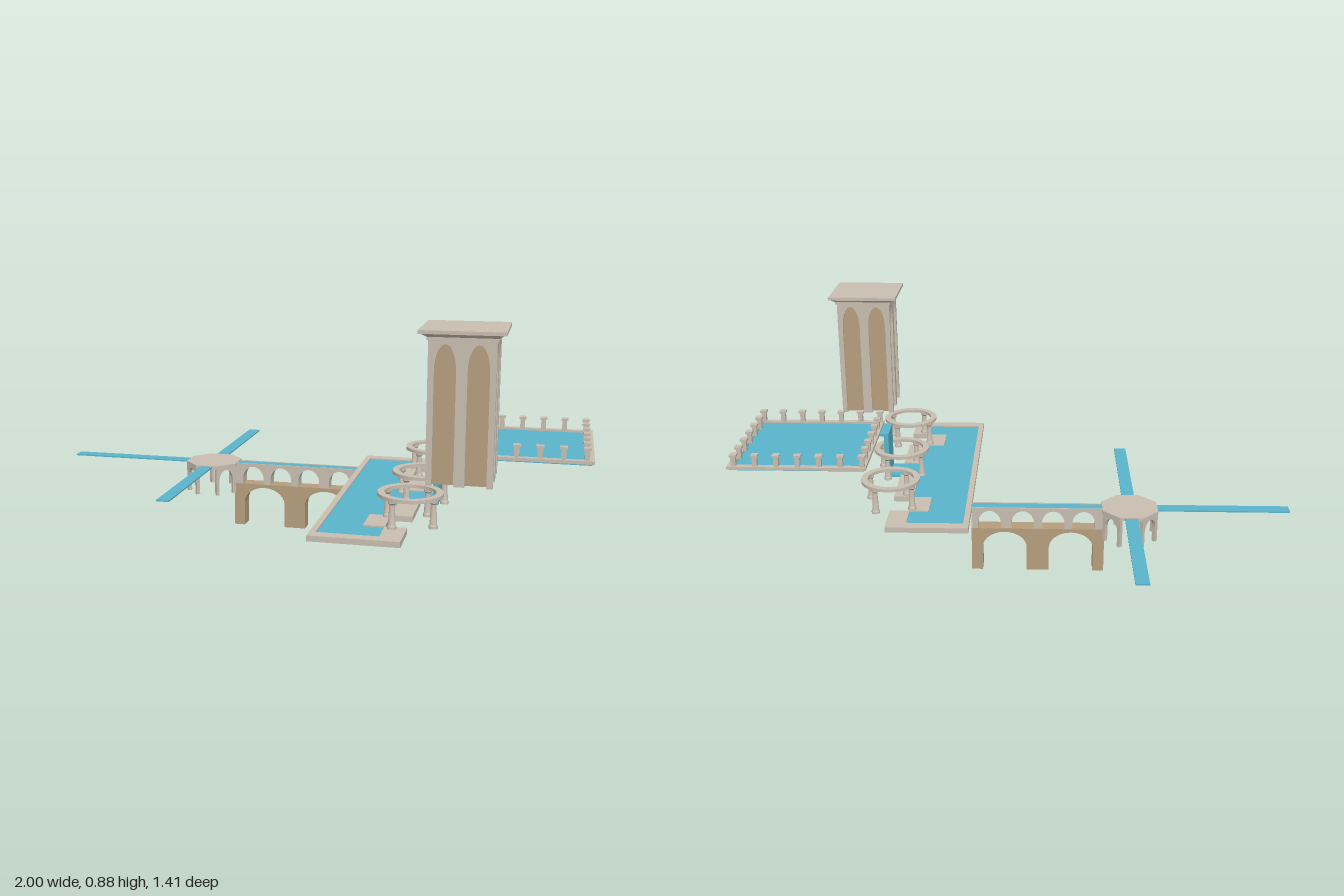
import * as THREE from 'three';
import { toCreasedNormals } from 'three/addons/utils/BufferGeometryUtils.js';

const stone = new THREE.MeshStandardMaterial({ color: 0xc8bdb0 });
const brick = new THREE.MeshStandardMaterial({ color: 0xb59d7c });
const water = new THREE.MeshStandardMaterial({ color: 0x5ab4ca });

function add(parent, name, geo, mat, x = 0, y = 0, z = 0) {
  const m = new THREE.Mesh(geo, mat);
  m.name = name;
  m.position.set(x, y, z);
  parent.add(m);
  return m;
}

// Box given by its min and max on each axis
function block(parent, name, mat, x0, x1, y0, y1, z0, z1) {
  return add(parent, name, new THREE.BoxGeometry(x1 - x0, y1 - y0, z1 - z0), mat,
    (x0 + x1) / 2, (y0 + y1) / 2, (z0 + z1) / 2);
}

function group(parent, name, x = 0, y = 0, z = 0) {
  const g = new THREE.Group();
  g.name = name;
  g.position.set(x, y, z);
  parent.add(g);
  return g;
}

const polygon = (pts) => new THREE.Shape(pts.map(([x, y]) => new THREE.Vector2(x, y)));
const rect = (x0, y0, x1, y1) => [[x0, y0], [x1, y0], [x1, y1], [x0, y1]];

// Wall with arched openings that reach its foot; arches are [centre, halfWidth]
function arcade(x0, x1, y0, y1, arches, spring, crown, depth) {
  const pts = [[x0, y0]];
  for (const [c, w] of arches) {
    pts.push([c - w, y0]);
    for (let i = 0; i <= 14; i++) {
      const a = Math.PI * (1 - i / 14);
      pts.push([c + w * Math.cos(a), spring + (crown - spring) * Math.sin(a)]);
    }
    pts.push([c + w, y0]);
  }
  pts.push([x1, y0], [x1, y1], [x0, y1]);
  const geo = new THREE.ExtrudeGeometry(polygon(pts), { depth, bevelEnabled: false });
  return geo.translate(0, 0, -depth / 2);
}

// Horizontal slab from a plan outline in x and z
function slab(parent, name, mat, outline, holes, y0, y1) {
  const shape = polygon(outline);
  shape.holes = holes.map(polygon);
  const geo = new THREE.ExtrudeGeometry(shape, { depth: y1 - y0, bevelEnabled: false });
  geo.rotateX(Math.PI / 2);
  return add(parent, name, geo, mat, 0, y1, 0);
}

const lathe = (pts, n) => toCreasedNormals(
  new THREE.LatheGeometry(pts.map(([x, y]) => new THREE.Vector2(x, y)), n), 0.6);

// Round pergola: four columns under a ring
function pergola(parent, z, y) {
  const g = group(parent, 'pergola', 0.43, y, z);
  add(g, 'ring', lathe([[0.082, 0.09], [0.105, 0.09], [0.105, 0.101], [0.082, 0.101], [0.082, 0.09]], 40), stone);
  const column = lathe([[0, 0], [0.015, 0], [0.015, 0.008], [0.012, 0.013], [0.0085, 0.078],
    [0.013, 0.083], [0.013, 0.09], [0, 0.09]], 16);
  for (let i = 0; i < 4; i++) {
    const a = Math.PI / 6 + i * Math.PI / 2;
    add(g, 'column', column, stone, 0.092 * Math.cos(a), 0, 0.092 * Math.sin(a));
  }
}

function longPool(parent) {
  const g = group(parent, 'longPool');
  const bays = [-0.14, 0.185, 0.5];
  // Outline with a notch in the right edge at each pergola
  const outline = [[0.14, -0.34], [0.43, -0.34]];
  for (const z of bays) outline.push([0.43, z - 0.06], [0.36, z - 0.06], [0.36, z + 0.06], [0.43, z + 0.06]);
  outline.push([0.43, 0.705], [0.14, 0.705]);
  slab(g, 'poolFloor', stone, outline, [], 0.228, 0.235);
  slab(g, 'poolRim', stone, outline, [rect(0.16, -0.3, 0.359, 0.665)], 0.235, 0.247);
  block(g, 'poolWater', water, 0.16, 0.36, 0.234, 0.242, -0.3, 0.665);
  bays.forEach((z, i) => {
    const middle = i === 1;
    if (!middle) block(g, 'landing', stone, 0.29, 0.36, 0.235, 0.247, z - 0.06, z + 0.06);
    pergola(g, z, middle ? 0.237 : 0.247);
  });
  block(g, 'basinWater', water, 0.35, 0.49, 0.234, 0.244, 0.13, 0.245);
}

function upperPool(parent) {
  const g = group(parent, 'upperPool');
  const [x0, x1, z0, z1] = [0.505, 0.997, -0.222, 0.262];
  slab(g, 'rim', stone, rect(x0, z0, x1, z1), [rect(x0 + 0.022, z0 + 0.022, x1 - 0.022, z1 - 0.022)], 0.407, 0.418);
  block(g, 'water', water, x0 + 0.008, x1 - 0.008, 0.402, 0.411, z0 + 0.008, z1 - 0.008);
  const shaft = new THREE.BoxGeometry(0.017, 0.042, 0.017);
  const cap = new THREE.BoxGeometry(0.025, 0.008, 0.025);
  for (let i = 0; i < 7; i++) {
    for (let j = 0; j < 7; j++) {
      if (i % 6 && j % 6) continue;
      const x = 0.519 + i * 0.0755, z = -0.208 + j * 0.076;
      add(g, 'post', shaft, stone, x, 0.435, z);
      add(g, 'postCap', cap, stone, x, 0.457, z);
    }
  }
  // Water spilling into the basin below
  block(g, 'waterfall', water, 0.472, 0.49, 0.236, 0.411, 0.13, 0.245);
  block(g, 'spillway', water, 0.472, 0.53, 0.402, 0.411, 0.13, 0.245);
}

function tower(parent) {
  const g = group(parent, 'tower', 0.59, 0, 0.504);
  block(g, 'core', brick, -0.09, 0.09, 0.403, 0.85, -0.09, 0.09);
  const face = arcade(-0.102, 0.102, 0.4, 0.855, [[-0.05, 0.033], [0.05, 0.033]], 0.75, 0.835, 0.012);
  face.translate(0, 0, 0.096);
  for (let i = 0; i < 4; i++) add(g, 'archedFace', face, stone).rotation.y = i * Math.PI / 2;
  block(g, 'architrave', stone, -0.107, 0.107, 0.847, 0.857, -0.107, 0.107);
  const flare = new THREE.CylinderGeometry(0.125 * Math.SQRT2, 0.107 * Math.SQRT2, 0.012, 4, 1).toNonIndexed();
  flare.rotateY(Math.PI / 4);
  flare.computeVertexNormals();
  add(g, 'cornice', flare, stone, 0, 0.862, 0);
  block(g, 'roof', stone, -0.13, 0.13, 0.867, 0.878, -0.13, 0.13);
}

function aqueduct(parent) {
  const g = group(parent, 'aqueduct', 0, 0, -0.14);
  add(g, 'lowerArches', arcade(-0.34, 0.14, 0, 0.165, [[-0.22, 0.08], [0.02, 0.08]], 0.09, 0.152, 0.056), brick);
  add(g, 'upperArches', arcade(-0.34, 0.14, 0.165, 0.24,
    [[-0.265, 0.041], [-0.155, 0.041], [-0.045, 0.041], [0.075, 0.041]], 0.185, 0.233, 0.05), stone);
  block(g, 'channelWater', water, -0.34, 0.16, 0.238, 0.243, -0.02, 0.02);
  for (const s of [-1, 1]) block(g, 'channelWall', stone, -0.34, 0.14, 0.238, 0.245, s * 0.0225 - 0.0025, s * 0.0225 + 0.0025);
}

function junction(parent) {
  const g = group(parent, 'junction', -0.43, 0, -0.14);
  // Octagonal deck with a flat side towards each arm
  const deck = new THREE.CylinderGeometry(0.107, 0.107, 0.012, 8).toNonIndexed();
  deck.rotateY(Math.PI / 8);
  deck.computeVertexNormals();
  add(g, 'deck', deck, stone, 0, 0.24, 0);
  // Arched supports on the four diagonal sides
  const support = arcade(-0.041, 0.041, 0.13, 0.236, [[0, 0.029]], 0.185, 0.226, 0.014);
  support.translate(0, 0, 0.091);
  for (let i = 0; i < 4; i++) {
    add(g, 'archedSupport', support, stone).rotation.y = Math.PI / 4 + i * Math.PI / 2;
  }
  // Three water channels, the fourth side joins the aqueduct
  block(g, 'waterArm', water, -0.57, -0.09, 0.238, 0.243, -0.023, 0.023);
  for (const s of [-1, 1]) block(g, 'waterArm', water, -0.023, 0.023, 0.238, 0.243, s * 0.33 - 0.24, s * 0.33 + 0.24);
}

export function createModel() {
  const model = new THREE.Group();
  model.name = 'waterGarden';
  longPool(model);
  upperPool(model);
  tower(model);
  aqueduct(model);
  junction(model);
  return model;
}
